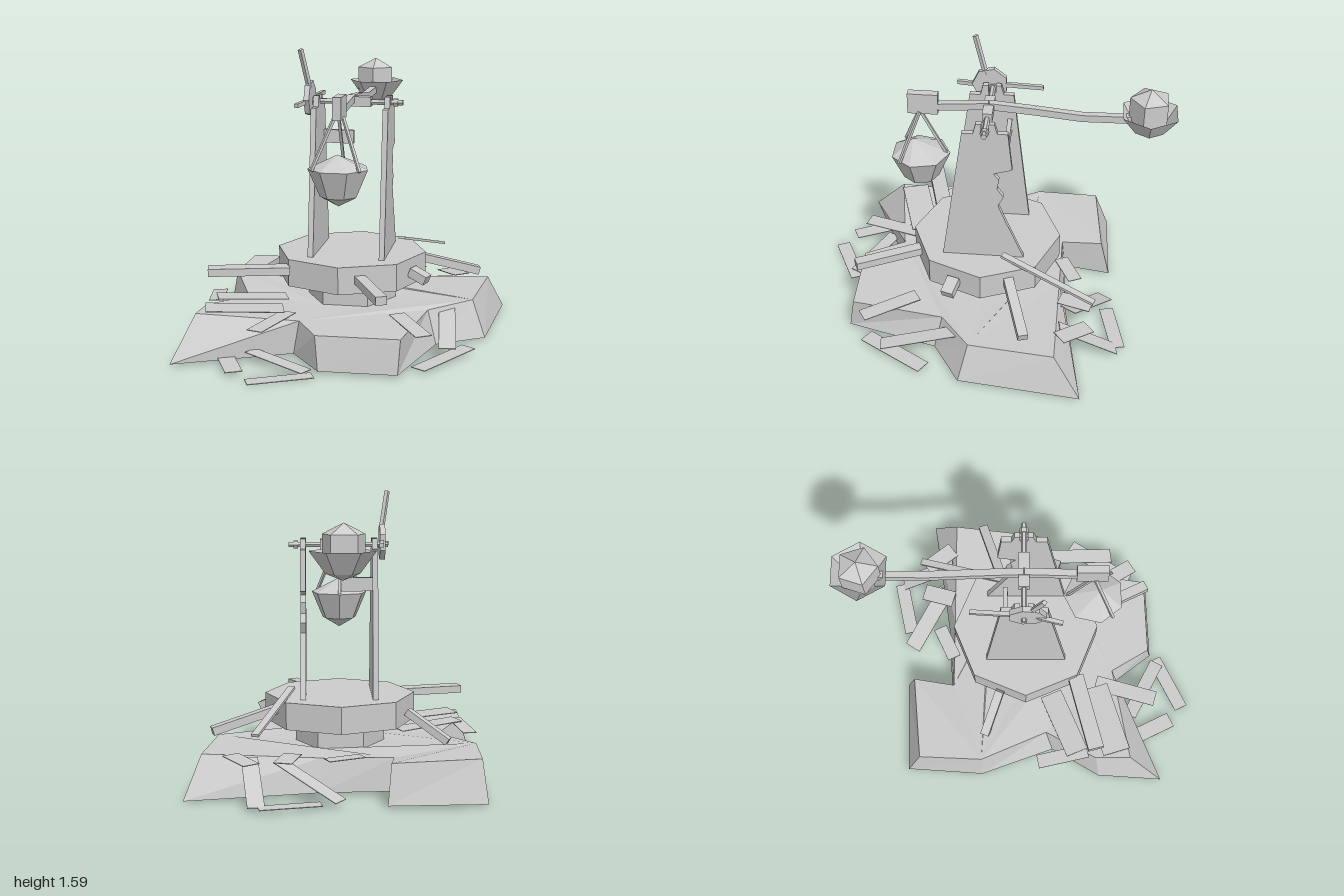
import * as THREE from 'three';

const V = (x, y, z) => new THREE.Vector3(x, y, z);
const material = new THREE.MeshStandardMaterial({ color: 0xcccccc, flatShading: true, side: THREE.DoubleSide });

export function createModel() {
  const root = new THREE.Group();

  function add(name, geometry, x = 0, y = 0, z = 0) {
    const mesh = new THREE.Mesh(geometry, material);
    mesh.name = name;
    mesh.position.set(x, y, z);
    root.add(mesh);
    return mesh;
  }
  // Rectangular bar from a to b
  function beam(name, a, b, width, height = width) {
    const mid = a.clone().lerp(b, 0.5);
    const mesh = add(name, new THREE.BoxGeometry(width, height, a.distanceTo(b)), mid.x, mid.y, mid.z);
    mesh.lookAt(b);
    return mesh;
  }
  // Faceted turned part, profile given as [radius, y]
  const turned = (profile, sides, start = 0) =>
    new THREE.LatheGeometry(profile.map(p => new THREE.Vector2(...p)), sides, start);

  // Lobed stone base, hollow below: [bottom x, bottom z, top x, top z, top y, bottom y]
  const rim = [
    [-0.76, -0.69, -0.735, -0.61, 0.24, 0.02], [-0.24, -0.71, -0.26, -0.655, 0.23, 0.02],
    [-0.285, -0.44, -0.29, -0.42, 0.2, 0.02], [0.1, -0.46, 0.1, -0.42, 0.2, 0.02],
    [0.82, -0.57, 0.735, -0.42, 0.225, 0.01], [0.755, 0.1, 0.68, 0.05, 0.22, 0.02],
    [0.5, 0.26, 0.45, 0.22, 0.2, 0.02], [0.36, 0.77, 0.37, 0.74, 0.2, 0.02],
    [-0.05, 0.78, -0.07, 0.75, 0.2, 0.02], [-0.23, 0.54, -0.2, 0.53, 0.2, 0.02],
    [-0.825, 0.815, -0.74, 0.62, 0.24, 0.02], [-0.8, 0.445, -0.74, 0.42, 0.23, 0.02],
    [-0.64, 0.17, -0.58, 0.13, 0.2, 0.02], [-0.79, -0.25, -0.75, -0.25, 0.235, 0.02],
  ];
  const hole = [0, 1, 2, 3, 4, 5].map(i => {
    const a = -i * Math.PI / 3;
    return new THREE.Vector2(0.25 * Math.cos(a) - 0.01, 0.25 * Math.sin(a));
  });
  const n = rim.length;
  const contour = rim.map(r => new THREE.Vector2(r[2], r[3]));
  const positions = [], index = [];
  rim.forEach(r => positions.push(r[2], r[4], r[3]));
  hole.forEach(h => positions.push(h.x, 0.2, h.y));
  rim.forEach(r => positions.push(r[0], r[5], r[1]));
  THREE.ShapeUtils.triangulateShape(contour, [hole]).forEach(([a, b, c]) => index.push(a, c, b));
  for (let i = 0; i < n; i++) {
    const j = (i + 1) % n, bi = i + n + 6, bj = j + n + 6;
    index.push(bi, i, bj, i, j, bj);
  }
  const baseGeometry = new THREE.BufferGeometry();
  baseGeometry.setAttribute('position', new THREE.Float32BufferAttribute(positions, 3));
  baseGeometry.setIndex(index);
  baseGeometry.computeVertexNormals();
  add('base', baseGeometry);

  // Column and turntable
  const column = new THREE.CylinderGeometry(0.25, 0.25, 0.16, 6, 1, true).rotateY(Math.PI / 2);
  add('column', column, -0.01, 0.25, 0);
  add('turntable', new THREE.CylinderGeometry(0.42, 0.42, 0.15, 8), -0.01, 0.397, 0.01);

  // Upright plates with forked tops, profile as [z, y]; one has a splintered back edge
  const front = [[0.24, 0.46], [0.125, 1.28], [0.065, 1.28], [0.05, 1.34], [0.02, 1.34], [0.02, 1.295],
    [-0.02, 1.295], [-0.02, 1.34], [-0.05, 1.34], [-0.065, 1.285], [-0.12, 1.285]].reverse();
  const splintered = [[-0.22, 0.46], [-0.11, 0.72], [-0.07, 0.82], [-0.1, 0.88], [-0.065, 0.93],
    [-0.075, 0.99], [-0.045, 1.03], [-0.145, 1.06]];
  function upright(name, x, back) {
    const shape = new THREE.Shape([...back, ...front].map(p => new THREE.Vector2(...p)));
    const geometry = new THREE.ExtrudeGeometry(shape, { depth: 0.03, bevelEnabled: false });
    add(name, geometry.rotateY(-Math.PI / 2), x + 0.015, 0, 0);
  }
  upright('leftUpright', 0.195, splintered);
  upright('rightUpright', -0.2, [[-0.22, 0.46]]);
  beam('brokenCrossbeam', V(-0.19, 1.095, -0.1), V(-0.015, 1.093, -0.1), 0.025, 0.075);

  // Axle and hub
  add('axle', new THREE.CylinderGeometry(0.016, 0.016, 0.55, 6).rotateZ(Math.PI / 2), 0, 1.305, 0);
  add('hub', new THREE.BoxGeometry(0.19, 0.055, 0.055), 0.005, 1.308, 0);
  for (const x of [-0.235, 0.235]) {
    add('collar', new THREE.CylinderGeometry(0.024, 0.024, 0.025, 6).rotateZ(Math.PI / 2), x, 1.305, 0);
  }

  // Broken hand wheel
  add('wheelHub', new THREE.CylinderGeometry(0.1, 0.1, 0.03, 7).rotateZ(Math.PI / 2), -0.243, 1.32, 0.015);
  beam('wheelSpoke', V(-0.24, 1.38, 0.04), V(-0.275, 1.595, 0.1), 0.022);
  beam('wheelSpoke', V(-0.245, 1.31, 0.05), V(-0.28, 1.3, 0.2), 0.022);
  beam('wheelSpoke', V(-0.24, 1.32, -0.05), V(-0.225, 1.32, -0.28), 0.022);

  // Bent swing arm with its end block
  const arm = [[1.302, 0.3], [1.325, 0], [1.305, -0.25], [1.28, -0.5], [1.285, -0.8]];
  for (let i = 1; i < arm.length; i++) {
    beam('arm', V(-0.01, ...arm[i - 1]), V(-0.01, ...arm[i]), 0.038, 0.04);
  }
  add('armBlock', new THREE.BoxGeometry(0.046, 0.12, 0.165), -0.012, 1.32, 0.357);

  // Hanging bucket on three ropes
  add('bucket', turned([[0, 0.795], [0.1, 0.85], [0.165, 1.0]], 7, Math.PI), -0.013, 0, 0.38);
  const heap = turned([[0.165, 1.0], [0, 1.08]], 7, Math.PI);
  const heapPosition = heap.attributes.position;
  for (let i = 0; i < heapPosition.count; i++) {
    if (heapPosition.getY(i) > 1.05) heapPosition.setZ(i, 0.04);
  }
  add('bucketHeap', heap, -0.013, 0, 0.38);
  for (const [x0, x, z] of [[-0.035, -0.14, 0.48], [0.01, 0.115, 0.48], [-0.012, -0.012, 0.235]]) {
    beam('rope', V(x0, 1.27, 0.375), V(x, 1.0, z), 0.015);
  }

  // Rear bowl holding a boulder
  add('rearBowl', turned([[0, 1.19], [0.085, 1.225], [0.165, 1.335]], 6, Math.PI / 2), -0.005, 0, -0.857);
  add('boulder', turned([[0, 1.24], [0.11, 1.28], [0.11, 1.415], [0, 1.47]], 5), -0.01, 0, -0.855);

  // Turntable push bars
  beam('pushBar', V(-0.38, 0.39, -0.14), V(-0.6, 0.24, -0.23), 0.05, 0.04);
  beam('pushBar', V(0.34, 0.41, -0.14), V(0.69, 0.31, -0.25), 0.055, 0.045);
  beam('pushBar', V(0.08, 0.4, 0.34), V(0.27, 0.395, 0.73), 0.06, 0.045);
  beam('pushBar', V(-0.3, 0.415, 0.3), V(-0.73, 0.415, 0.41), 0.09, 0.042);
  beam('pushBarStub', V(0.35, 0.4, 0.16), V(0.44, 0.36, 0.19), 0.07, 0.05);
  beam('leaningPlank', V(0.26, 0.52, -0.1), V(0.44, 0.37, -0.62), 0.04, 0.015);

  // Scattered planks: [x1, y1, z1, x2, y2, z2, width]
  const planks = [
    [0.1, 0.03, -0.7, 0.42, 0.03, -0.77, 0.08], [0.43, 0.03, -0.76, 0.48, 0.21, -0.44, 0.09],
    [0, 0.04, -0.69, 0.32, 0.2, -0.48, 0.1], [0.25, 0.225, -0.43, 0.3, 0.22, -0.61, 0.1],
    [0.46, 0.21, -0.6, 0.58, 0.225, -0.44, 0.1], [-0.12, 0.21, -0.42, 0.07, 0.21, -0.51, 0.08],
    [-0.76, 0.215, 0.08, -0.7, 0.24, 0.37, 0.08], [-0.71, 0.245, 0.31, -0.35, 0.22, 0.16, 0.13],
    [-0.71, 0.25, 0.54, -0.31, 0.23, 0.42, 0.16], [-0.38, 0.215, 0.78, -0.28, 0.215, 0.43, 0.09],
    [-0.6, 0.03, 0.6, -0.46, 0.03, 0.89, 0.09], [-0.44, 0.06, 0.64, -0.1, 0.03, 0.82, 0.08],
    [-0.38, 0.008, 0.96, -0.07, 0.008, 0.81, 0.08], [0.54, 0.2, 0.08, 0.59, 0.1, 0.55, 0.09],
    [0.45, 0.02, 0.66, 0.68, 0.03, 0.3, 0.09], [0.3, 0.22, 0.38, 0.48, 0.2, 0.67, 0.09],
  ];
  for (const [x1, y1, z1, x2, y2, z2, w] of planks) {
    beam('plank', V(x1, y1, z1), V(x2, y2, z2), w, 0.004);
  }
  return root;
}
